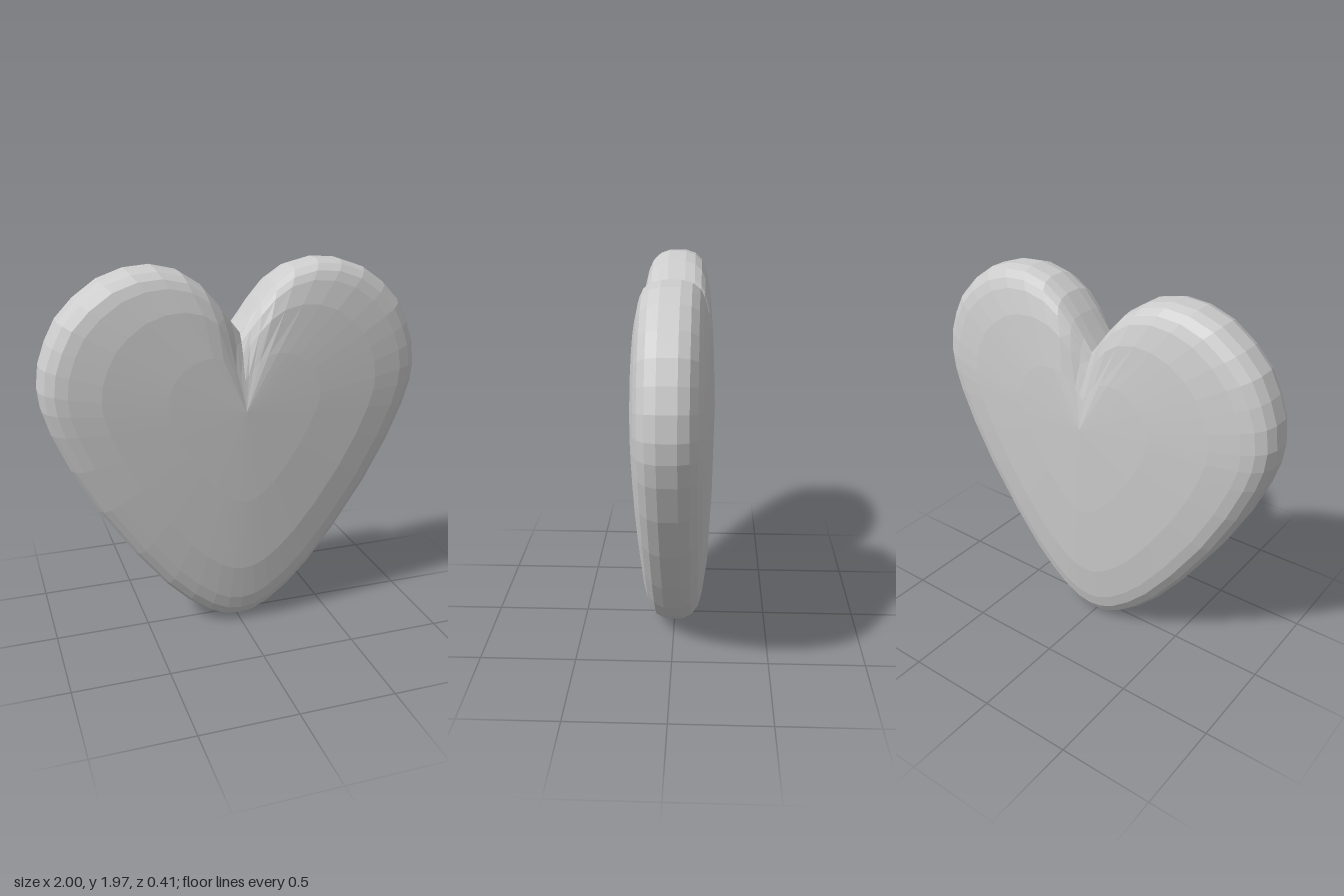
import * as THREE from 'three';

// Right half of the outline, from the cleft round to the bottom tip
const HALF = [
  [0, 1.64], [0.05, 1.705], [0.11, 1.785], [0.19, 1.875], [0.29, 1.94], [0.42, 1.97],
  [0.55, 1.96], [0.68, 1.915], [0.8, 1.83], [0.89, 1.735], [0.945, 1.63], [0.985, 1.52],
  [1, 1.4], [0.99, 1.3], [0.955, 1.18], [0.87, 0.98], [0.74, 0.74], [0.56, 0.47],
  [0.4, 0.265], [0.28, 0.145], [0.17, 0.06], [0.08, 0.017], [0, 0.005],
];
// Rim-to-middle profile: [scale of the outline, half thickness]
const PROFILE = [[1, 0.045], [0.978, 0.095], [0.935, 0.13], [0.875, 0.15], [0.72, 0.176], [0.4, 0.197]];
const CENTRE_Y = 1.25;
const DOME = 0.207;

export function createModel() {
  const group = new THREE.Group();
  const mirrored = HALF.slice(1, -1).reverse().map(([x, y]) => [-x, y]);
  const outline = [...HALF, ...mirrored]; // clockwise seen from the front
  const n = outline.length;

  // Rings run from the back face, over the rim, to the front face
  const rings = [
    ...PROFILE.map(([s, z]) => [s, -z]).reverse(),
    ...PROFILE,
  ];
  const positions = [];
  for (const [s, z] of rings) {
    for (const [x, y] of outline) {
      const px = x * s;
      const py = CENTRE_Y + (y - CENTRE_Y) * s;
      // Soft valley running down from the cleft
      const valley = 0.2 * Math.exp(-((px / 0.08) ** 2)) * THREE.MathUtils.smoothstep(py, 1.27, 1.62);
      const depth = Math.abs(z) > 0.1 ? z * (1 - valley) : z;
      positions.push(px, py, depth);
    }
  }
  const back = rings.length * n;
  const front = back + 1;
  positions.push(0, CENTRE_Y, -DOME, 0, CENTRE_Y, DOME);

  const index = [];
  const last = (rings.length - 1) * n;
  for (let i = 0; i < n; i++) {
    const j = (i + 1) % n;
    for (let r = 0; r < rings.length - 1; r++) {
      const a = r * n + i, b = r * n + j, c = a + n, d = b + n;
      index.push(a, c, b, b, c, d);
    }
    index.push(back, i, j, front, last + j, last + i);
  }

  const geometry = new THREE.BufferGeometry();
  geometry.setAttribute('position', new THREE.Float32BufferAttribute(positions, 3));
  geometry.setIndex(index);
  geometry.computeVertexNormals();

  const heart = new THREE.Mesh(
    geometry,
    new THREE.MeshStandardMaterial({ color: 0xcccccc, flatShading: true }),
  );
  heart.name = 'heart';
  group.add(heart);
  return group;
}
